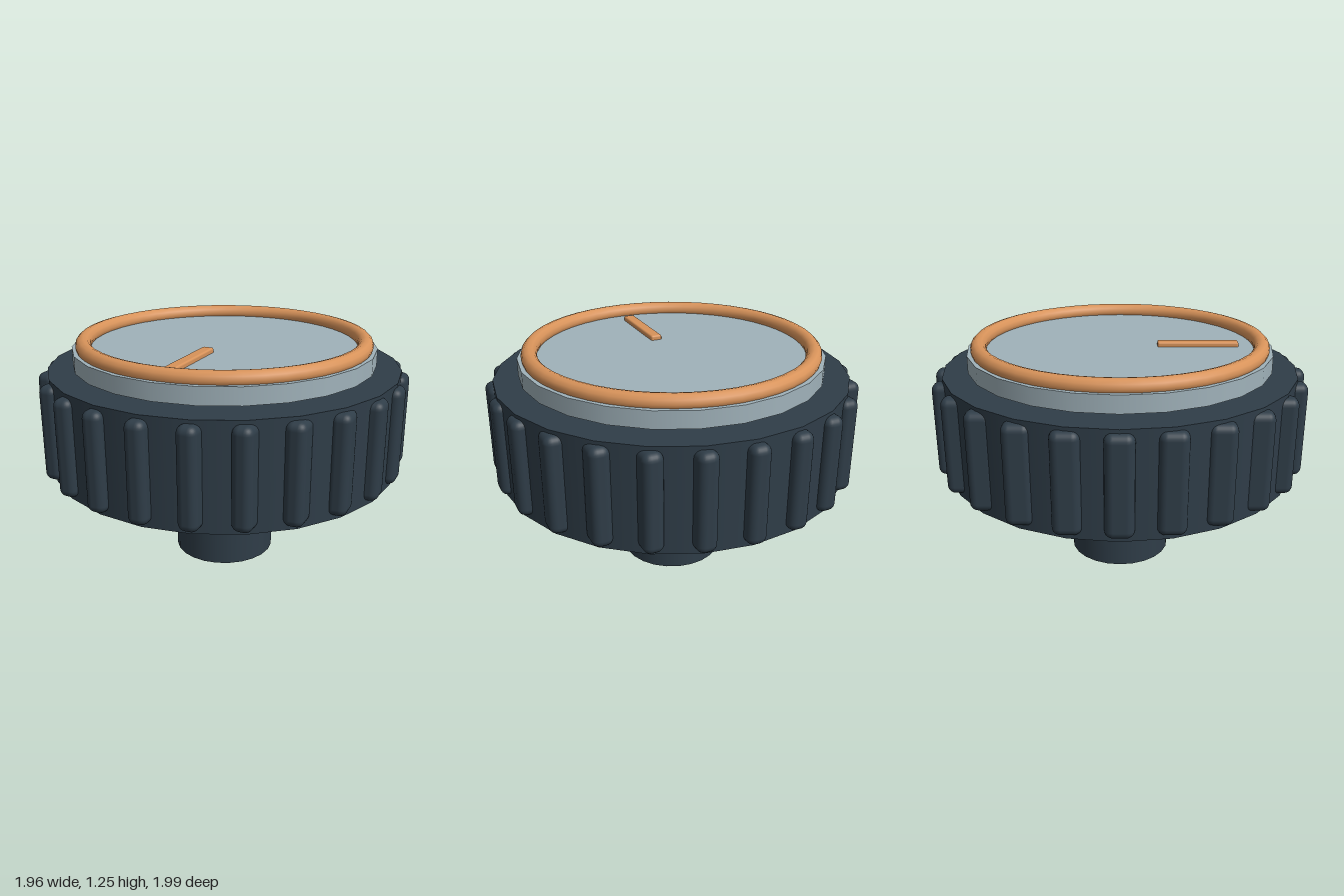
import * as THREE from 'three';
import { RoundedBoxGeometry } from 'three/addons/geometries/RoundedBoxGeometry.js';

const dark = new THREE.MeshStandardMaterial({ color: 0x2f3d48 });
const grey = new THREE.MeshStandardMaterial({ color: 0xa0b2ba });
const copper = new THREE.MeshStandardMaterial({ color: 0xd8935a });

export function createModel() {
  const knob = new THREE.Group();
  knob.name = 'rotaryKnob';

  const add = (name, geometry, material, x, y, z, parent = knob) => {
    const mesh = new THREE.Mesh(geometry, material);
    mesh.name = name;
    mesh.position.set(x, y, z);
    parent.add(mesh);
    return mesh;
  };
  const disc = (name, radius, y0, y1, material) =>
    add(name, new THREE.CylinderGeometry(radius, radius, y1 - y0, 24), material, 0, (y0 + y1) / 2, 0);

  // Shaft, grip body and the cap that floats just above it
  disc('shaft', 0.275, 0, 0.54, dark);
  disc('body', 0.943, 0.53, 1.08, dark);
  disc('cap', 0.81, 1.1, 1.19, grey);

  // Grip ribs: spaced around the body, all keeping the same orientation
  const ribs = new THREE.Group();
  ribs.name = 'gripRibs';
  knob.add(ribs);
  const ribGeometry = new RoundedBoxGeometry(0.104, 0.51, 0.14, 3, 0.04);
  for (let i = 0; i < 24; i++) {
    const a = (i / 24) * Math.PI * 2;
    add('gripRib', ribGeometry, dark, Math.sin(a) * 0.927, 0.807, Math.cos(a) * 0.927, ribs);
  }

  // Trim ring and pointer on the cap
  add('trimRing', new THREE.TorusGeometry(0.747, 0.042, 12, 48), copper, 0, 1.208, 0).rotation.x = Math.PI / 2;
  add('pointer', new RoundedBoxGeometry(0.062, 0.04, 0.43, 2, 0.01), copper, 0, 1.195, 0.415);

  return knob;
}
